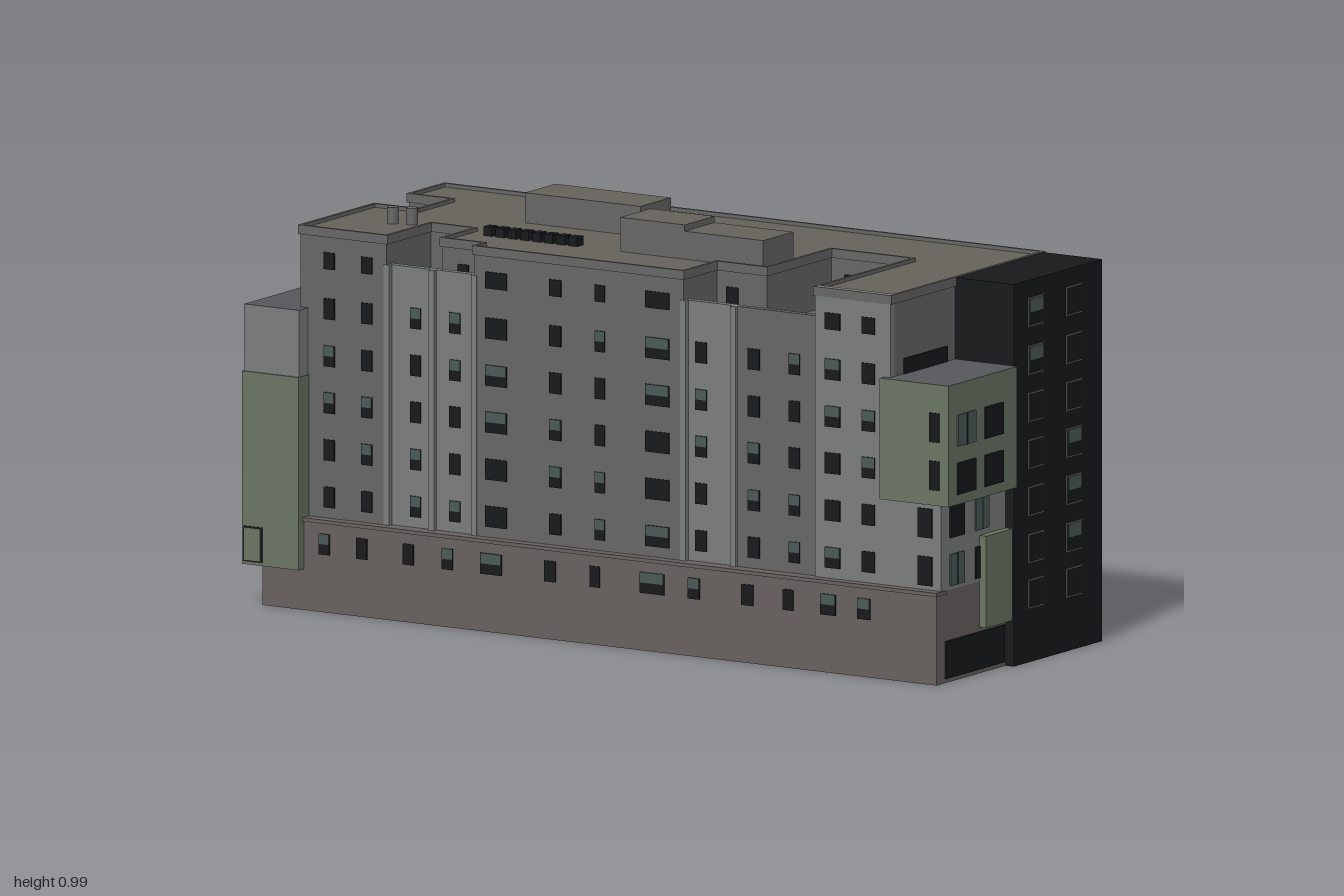
import * as THREE from 'three';

const mat = (color, opts = {}) => new THREE.MeshStandardMaterial({ color, ...opts });
const M = {
  base: mat(0x686260), mid: mat(0x676767), light: mat(0x7c7f7f), green: mat(0x6a7563),
  dark: mat(0x18191c), glass: mat(0x4a5a58), roof: mat(0x66635b), slate: mat(0x57585b), frame: mat(0x777777),
};
const FLOORS = [0.163, 0.272, 0.385, 0.498, 0.61, 0.723, 0.838];

export function createModel() {
  const model = new THREE.Group();
  model.name = 'apartmentBlock';
  const block = new THREE.Group();
  block.name = 'building';
  block.rotation.y = -0.0873; // the plan stands slightly turned
  model.add(block);

  // Box from its limits; roofMat colours the top face
  function box(name, m, x0, x1, y0, y1, z0, z1, roofMat) {
    const g = new THREE.BoxGeometry(x1 - x0, y1 - y0, z1 - z0);
    const mesh = new THREE.Mesh(g, roofMat ? [m, m, roofMat, m, m, m] : m);
    mesh.position.set((x0 + x1) / 2, (y0 + y1) / 2, (z0 + z1) / 2);
    mesh.name = name;
    block.add(mesh);
    return mesh;
  }

  // Window on a wall facing 'z' (front/back) or 'x' (ends): a = position along the wall, at = wall plane
  function win(axis, a, y, at, w, h, kind = 0, frame = false) {
    const slab = (name, m, aw, y0, y1, t) => axis === 'z'
      ? box(name, m, a - aw / 2, a + aw / 2, y0, y1, at - t, at + t)
      : box(name, m, at - t, at + t, y0, y1, a - aw / 2, a + aw / 2);
    if (frame) slab('windowFrame', M.frame, w + 0.006, y - h / 2 - 0.003, y + h / 2 + 0.003, 0.002);
    slab('windowPane', kind === 2 ? M.glass : M.dark, w, y - h / 2, y + h / 2, 0.003);
    if (kind === 1) slab('windowGlass', M.glass, w * 0.94, y, y + h / 2, 0.004);
    if (kind === 2) slab('windowMullion', M.dark, 0.004, y - h / 2, y + h / 2, 0.004);
  }

  // Plinth, its ledge and the garage opening
  box('plinth', M.base, -0.934, 0.811, 0, 0.22, -0.346, 0.338);
  box('plinthCorner', M.base, 0.811, 0.953, 0, 0.22, 0.038, 0.338);
  box('plinthLedge', M.base, -0.82, 0.956, 0.213, 0.222, 0.3, 0.344);
  box('garageOpening', M.dark, 0.94, 0.957, 0.01, 0.1, 0.047, 0.302);
  box('sideOpening', M.dark, -0.938, -0.92, 0.02, 0.1, -0.02, 0.25);

  // Main body up to the terraces
  box('mainBody', M.mid, -0.842, 0.811, 0.22, 0.78, -0.346, 0.3, M.roof);
  const panels = [
    [-0.842, -0.6, 0.316, 0.78, M.mid], [-0.6, -0.355, 0.306, 0.845, M.light],
    [-0.355, 0.23, 0.316, 0.78, M.mid], [0.23, 0.37, 0.306, 0.845, M.light],
    [0.37, 0.6, 0.31, 0.845, M.mid], [0.6, 0.811, 0.318, 0.917, M.light],
  ];
  for (const [x0, x1, z, top, m] of panels) box('facadePanel', m, x0, x1, 0.22, top, z - 0.018, z);
  for (const x of [-0.6, -0.475, -0.355, 0.23, 0.37]) box('facadeRib', M.light, x - 0.008, x + 0.008, 0.22, 0.845, 0.29, 0.318);

  // Top storey with notched-out terraces, plan given as [x, z]
  const plan = [
    [-0.842, 0.316], [-0.6, 0.316], [-0.6, 0.124], [-0.475, 0.124], [-0.475, 0.27], [-0.355, 0.27],
    [-0.355, 0.316], [0.23, 0.316], [0.23, 0.17], [0.37, 0.17], [0.37, -0.11], [0.6, -0.11],
    [0.6, 0.316], [0.811, 0.316], [0.811, -0.346], [-0.59, -0.346], [-0.59, -0.312], [-0.842, -0.312],
    [-0.842, -0.157], [-0.72, -0.157], [-0.72, -0.007], [-0.842, -0.007],
  ];
  const shape = new THREE.Shape(plan.map(([x, z]) => new THREE.Vector2(x, -z)));
  const topGeo = new THREE.ExtrudeGeometry(shape, { depth: 0.128, bevelEnabled: false });
  topGeo.rotateX(-Math.PI / 2);
  const storey = new THREE.Mesh(topGeo, [M.roof, M.mid]);
  storey.position.y = 0.78;
  storey.name = 'topStorey';
  block.add(storey);
  plan.forEach(([x, z], i) => {
    const [x2, z2] = plan[(i + 1) % plan.length], t = 0.004;
    box('parapet', M.mid, Math.min(x, x2) - t, Math.max(x, x2) + t, 0.895, 0.917,
      Math.min(z, z2) - t, Math.max(z, z2) + t, M.roof);
  });

  // Dark tower at the left-hand end, with framed windows
  box('darkTower', M.dark, 0.811, 0.976, 0, 0.915, -0.346, 0.038);
  FLOORS.forEach((y, r) => {
    win('x', -0.058, y, 0.976, 0.062, 0.064, r > 4 ? 1 : 0, true);
    win('x', -0.224, y, 0.976, 0.062, 0.064, r > 0 && r < 4 ? 1 : 0, true);
  });

  // Corner wing under the overhanging green box
  box('cornerWing', M.light, 0.811, 0.953, 0.22, 0.43, 0.038, 0.318);
  box('greenBox', M.green, 0.793, 0.985, 0.43, 0.72, 0.038, 0.337, M.slate);
  box('greenPanel', M.green, 0.94, 0.972, 0.11, 0.33, 0.038, 0.152);
  box('terraceWindow', M.dark, 0.8, 0.815, 0.72, 0.757, 0.075, 0.262);
  [0.492, 0.607].forEach((y, r) => {
    win('x', 0.258, y, 0.985, 0.08, 0.076, r ? 2 : 0);
    win('x', 0.14, y, 0.985, 0.08, 0.076);
    win('z', 0.947, y + 0.01, 0.337, 0.027, 0.07);
  });
  [0.267, 0.382].forEach((y, r) => {
    win('x', 0.25, y, 0.953, 0.062, 0.076, r ? 0 : 2);
    win('x', 0.142, y, 0.953, 0.06, 0.076, r ? 2 : 0);
    win('z', 0.908, y, 0.318, 0.04, 0.07);
  });

  // Low wing at the other end, cantilevered beyond the plinth, with green corner cladding
  box('endWing', M.light, -0.974, -0.82, 0.1, 0.72, -0.346, 0.356, M.slate);
  box('greenCladding', M.green, -0.977, -0.818, 0.098, 0.56, 0.03, 0.36);
  box('claddingFrame', M.dark, -0.972, -0.92, 0.105, 0.19, 0.355, 0.362);
  box('claddingPanel', M.green, -0.968, -0.924, 0.109, 0.186, 0.356, 0.364);
  for (const z of [-0.25, -0.13, -0.01]) box('endRib', M.light, -0.98, -0.97, 0.1, 0.72, z - 0.012, z + 0.012);
  for (const z of [-0.3, -0.19, -0.07, 0.09, 0.2, 0.3])
    FLOORS.slice(0, 6).forEach((y, r) => win('x', z, y - (r === 5 ? 0.05 : 0), z > 0 && r < 5 ? -0.977 : -0.974,
      r === 0 && z > 0 ? 0.06 : 0.035, r === 5 ? 0.04 : 0.05, (r * 3 + Math.round(z * 10) + 9) % 5 === 0 ? 1 : 0));
  for (const z of [-0.24, 0.06, 0.2]) win('x', z, FLOORS[6], -0.842, 0.04, 0.05);

  // Front windows: [x, width, wall plane, wall plane of the top storey]
  const front = [
    [-0.76, 0.03, 0.316, 0.316], [-0.655, 0.03, 0.316, 0.316], [-0.525, 0.03, 0.306, 0.124], [-0.415, 0.03, 0.306, 0.27],
    [-0.293, 0.06, 0.316, 0.316], [-0.128, 0.033, 0.316, 0.316], [-0.003, 0.028, 0.316, 0.316], [0.158, 0.068, 0.316, 0.316],
    [0.274, 0.033, 0.306, 0.17], [0.424, 0.033, 0.31, -0.11], [0.538, 0.03, 0.31, -0.11], [0.65, 0.042, 0.318, 0.318], [0.75, 0.036, 0.318, 0.318],
  ];
  front.forEach(([x, w, z, zTop], i) => FLOORS.forEach((y, r) =>
    win('z', x, y, r === 0 ? 0.338 : r === 6 ? zTop : z, w, r === 6 ? 0.04 : 0.05, r < 6 && (i * 7 + r * 3) % 4 < 2 ? 1 : 0)));

  // Back windows
  [0.76, 0.61, 0.46, 0.3, 0.15, 0.01, -0.15, -0.3, -0.45, -0.62, -0.76].forEach((x, i) =>
    FLOORS.forEach((y, r) => win('z', x, y, r === 6 && x < -0.59 ? -0.312 : -0.346,
      i % 3 === 2 ? 0.06 : 0.036, 0.055, (i * 5 + r * 3) % 7 === 0 ? 1 : 0)));

  // Roof plant rooms, vents and flues
  box('plantRoomBack', M.mid, -0.436, -0.113, 0.9, 0.98, -0.163, -0.03, M.roof);
  box('liftHousing', M.mid, -0.05, 0.13, 0.9, 0.99, 0.024, 0.155, M.roof);
  box('plantRoomFront', M.mid, 0.13, 0.35, 0.9, 0.975, 0.024, 0.155, M.roof);
  for (let i = 0; i < 8; i++) box('roofVent', M.dark, -0.43 + i * 0.034, -0.406 + i * 0.034, 0.9, 0.93, 0.132, 0.16);
  for (const x of [0.525, 0.57]) for (const z of [-0.075, -0.02, 0.035])
    box('terraceUnit', M.dark, x - 0.014, x + 0.014, 0.78, 0.82, z - 0.014, z + 0.014);
  for (const x of [-0.555, -0.52]) box('terraceUnit', M.dark, x - 0.012, x + 0.012, 0.78, 0.82, 0.225, 0.25);
  for (const [x, z] of [[-0.695, 0.142], [-0.651, 0.127]]) {
    const flue = new THREE.Mesh(new THREE.CylinderGeometry(0.014, 0.014, 0.045, 16), M.mid);
    flue.position.set(x, 0.925, z);
    flue.name = 'flue';
    block.add(flue);
  }
  return model;
}
